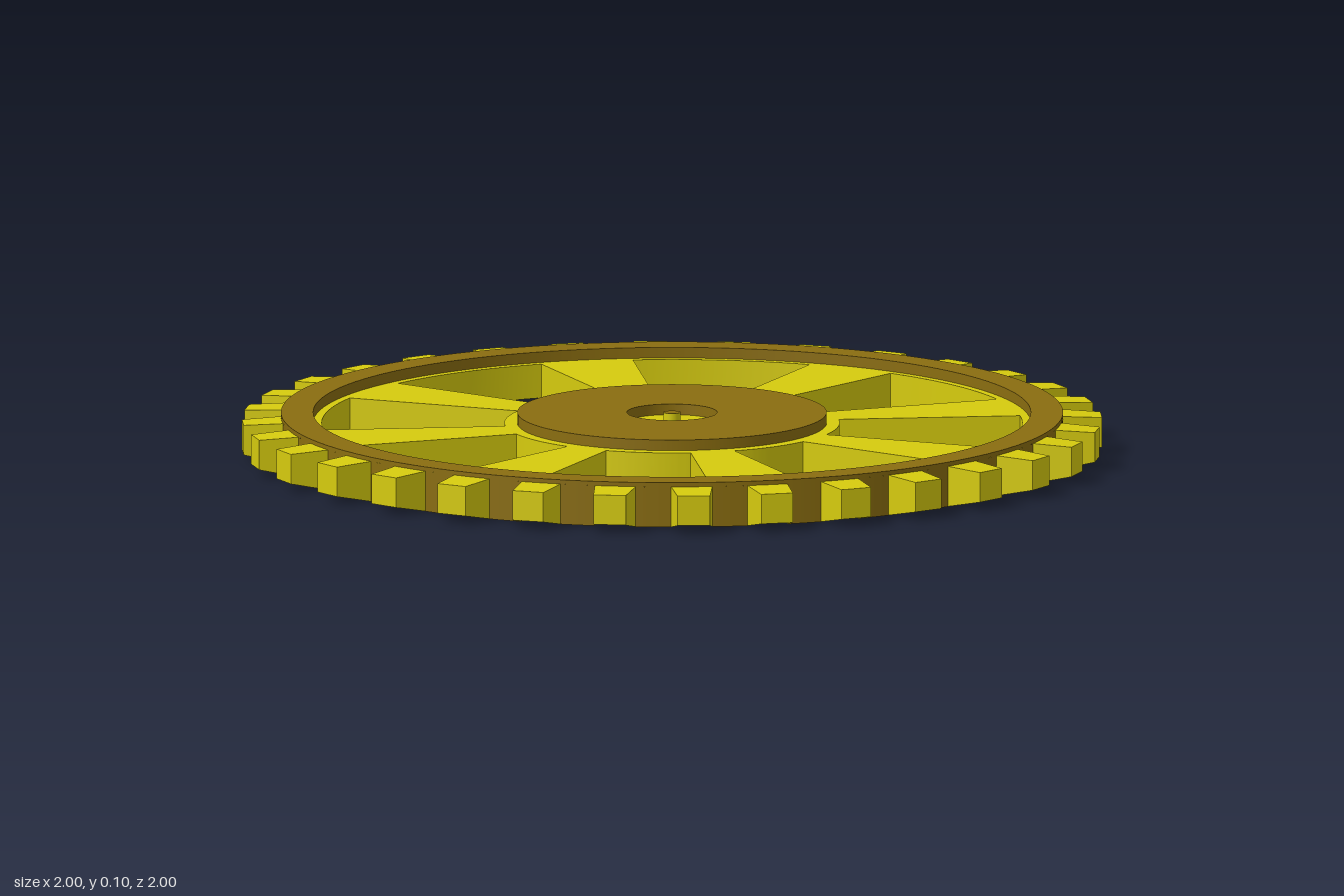
import * as THREE from 'three';
import { toCreasedNormals } from 'three/addons/utils/BufferGeometryUtils.js';

const TOP = 0.105, PLATE = 0.08, TEETH = 32, SPOKES = 8;
const RIM = 0.91, RIM_IN = 0.835, WINDOW_OUT = 0.815, HUB = 0.39, DISC = 0.36, BORE = 0.105;
const yellow = new THREE.MeshStandardMaterial({ color: 0xd6cb0e, side: THREE.DoubleSide });
const brown = new THREE.MeshStandardMaterial({ color: 0x8a6d10, side: THREE.DoubleSide });

function add(parent, name, geometry, material, y = 0) {
  const mesh = new THREE.Mesh(geometry, material);
  mesh.name = name;
  mesh.position.y = y;
  parent.add(mesh);
  return mesh;
}

// Open upright wall from y0 to y1, optionally only an arc of it
function wall(r, y0, y1, start = 0, length = Math.PI * 2) {
  const segs = Math.max(3, Math.round(length / (Math.PI * 2) * 128));
  return new THREE.CylinderGeometry(r, r, y1 - y0, segs, 1, true, start, length)
    .translate(0, (y0 + y1) / 2, 0);
}

const flatRing = (r0, r1) => new THREE.RingGeometry(r0, r1, 128).rotateX(-Math.PI / 2);

// Opening between two spokes, bounded by arcs and radial edges
function windowPath(centre) {
  const half = THREE.MathUtils.degToRad(14.75);
  const path = new THREE.Path();
  path.absarc(0, 0, WINDOW_OUT, centre - half, centre + half, false);
  path.absarc(0, 0, HUB, centre + half, centre - half, true);
  path.closePath();
  return path;
}

// Wall running around an opening, facing into it
function windowWall(path) {
  const pts = path.getPoints(14);
  const pos = [];
  for (let i = 0; i < pts.length - 1; i++) {
    const p = pts[i], q = pts[i + 1];
    if (p.distanceTo(q) < 1e-6) continue;
    pos.push(p.x, 0, -p.y, p.x, PLATE, -p.y, q.x, 0, -q.y);
    pos.push(q.x, 0, -q.y, p.x, PLATE, -p.y, q.x, PLATE, -q.y);
  }
  const g = new THREE.BufferGeometry();
  g.setAttribute('position', new THREE.Float32BufferAttribute(pos, 3));
  g.computeVertexNormals();
  return toCreasedNormals(g, 0.5);
}

// Tapered tooth shell along +z, open below and towards the rim
function toothGeometry(halfBase) {
  const zb = 0.908, zt = 1, ht = 0.038;
  const g = new THREE.BufferGeometry();
  g.setAttribute('position', new THREE.Float32BufferAttribute([
    -halfBase, 0, zb, halfBase, 0, zb, halfBase, 0.095, zb, -halfBase, 0.095, zb,
    -ht, 0.02, zt, ht, 0.02, zt, ht, 0.09, zt, -ht, 0.09, zt,
  ], 3));
  g.setIndex([
    4, 5, 6, 4, 6, 7, // tip
    7, 6, 2, 7, 2, 3, // top
    5, 1, 2, 5, 2, 6, // +x flank
    0, 4, 7, 0, 7, 3, // -x flank
  ]);
  const flat = g.toNonIndexed();
  flat.computeVertexNormals();
  return flat;
}

export function createModel() {
  const model = new THREE.Group();
  model.name = 'gearWheel';

  // Spoked plate, hollow underneath
  const body = new THREE.Group();
  body.name = 'spokedBody';
  model.add(body);
  const plate = new THREE.Shape();
  plate.absarc(0, 0, RIM_IN, 0, Math.PI * 2, false);
  const centreHole = new THREE.Path();
  centreHole.absarc(0, 0, DISC, 0, Math.PI * 2, true);
  plate.holes.push(centreHole);
  for (let i = 0; i < SPOKES; i++) {
    const path = windowPath(THREE.MathUtils.degToRad(33.75 + i * 360 / SPOKES));
    plate.holes.push(path);
    add(body, 'windowWall', windowWall(path), yellow);
  }
  add(body, 'spokePlate', new THREE.ShapeGeometry(plate, 64).rotateX(-Math.PI / 2), yellow, PLATE);

  // Raised rim, its outer wall broken at each tooth
  const rim = new THREE.Group();
  rim.name = 'rim';
  model.add(rim);
  add(rim, 'rimTop', flatRing(RIM_IN, RIM), brown, TOP);
  add(rim, 'rimInnerStep', wall(RIM_IN, PLATE, TOP), brown);
  add(rim, 'rimLip', wall(RIM, 0.095, TOP), brown);
  const step = Math.PI * 2 / TEETH;
  const halfBase = 0.048, halfAngle = Math.asin(halfBase / RIM);
  const tooth = toothGeometry(halfBase);
  for (let i = 0; i < TEETH; i++) {
    add(model, 'tooth', tooth, yellow).rotation.y = i * step;
    add(rim, 'rimWall', wall(RIM, 0, 0.095, i * step + halfAngle, step - 2 * halfAngle), brown);
  }

  // Raised hub disc with a sunken centre
  const hub = new THREE.Group();
  hub.name = 'hub';
  model.add(hub);
  add(hub, 'hubDisc', flatRing(BORE, DISC), brown, TOP);
  add(hub, 'hubStep', wall(DISC, PLATE, TOP), brown);
  add(hub, 'recessWall', wall(BORE, PLATE, TOP), brown);
  add(hub, 'recessFloor', flatRing(0.02, BORE), yellow, PLATE);

  // Small centre pin
  add(hub, 'pinWall', wall(0.02, PLATE, TOP), yellow);
  add(hub, 'pinCap', new THREE.CircleGeometry(0.02, 32).rotateX(-Math.PI / 2), brown, TOP);

  return model;
}
